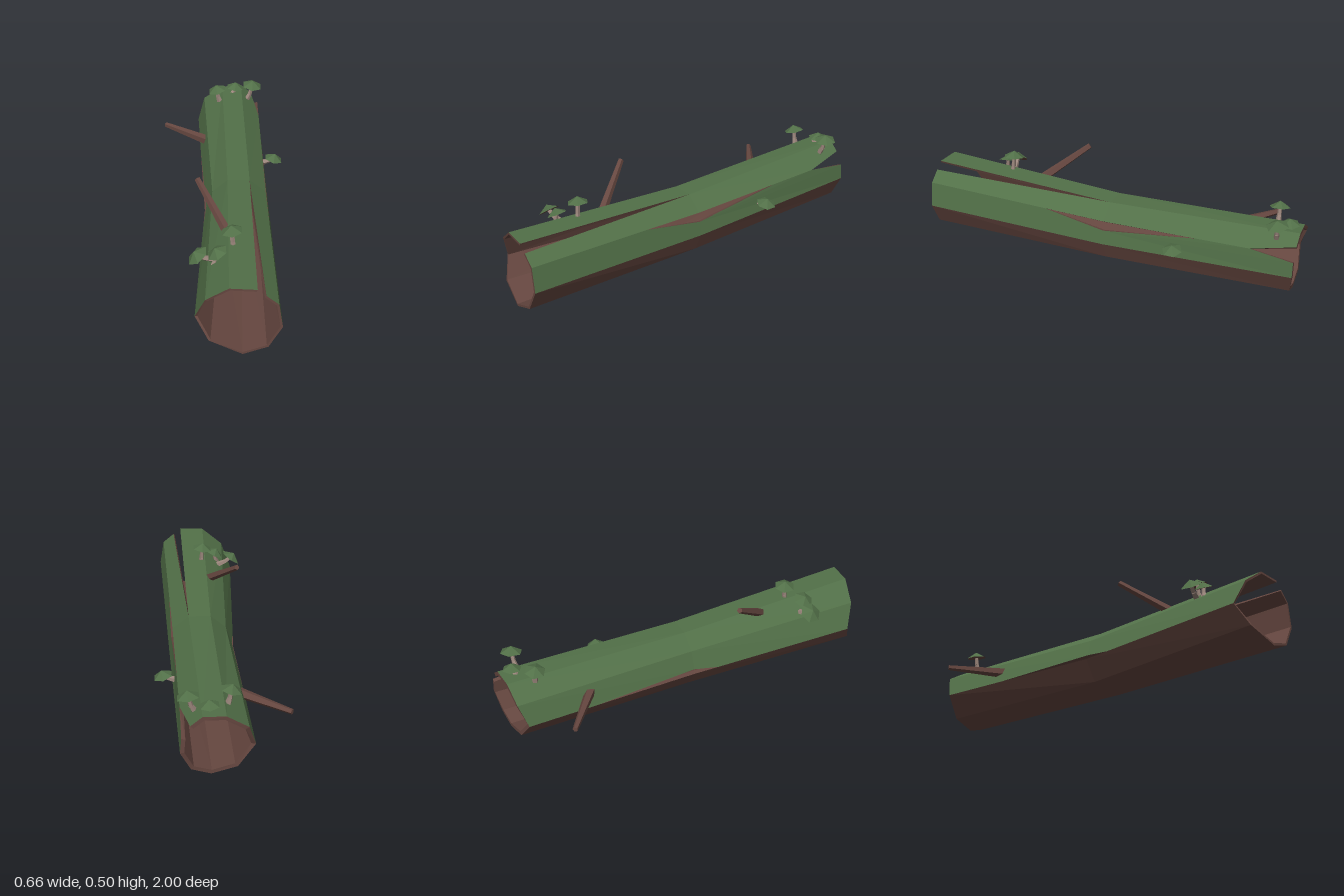
import * as THREE from 'three';

const mat = (name, color) => {
  const m = new THREE.MeshStandardMaterial({ color });
  m.name = name;
  return m;
};

// Nine-sided cross-sections [x, y], counter-clockwise from the bottom
const FRONT = [[0.09, 0.003], [0.21, 0.047], [0.275, 0.165], [0.255, 0.295], [0.155, 0.38],
  [0.025, 0.38], [-0.085, 0.295], [-0.135, 0.165], [-0.07, 0.06]];
const MIDDLE = [[0.1, 0.001], [0.2, 0.045], [0.245, 0.142], [0.225, 0.265], [0.14, 0.335],
  [0.025, 0.335], [-0.055, 0.265], [-0.095, 0.145], [-0.025, 0.04]];
const BACK = [[0.07, 0.03], [0.165, 0.065], [0.215, 0.17], [0.205, 0.285], [0.11, 0.365],
  [0, 0.358], [-0.105, 0.29], [-0.14, 0.17], [-0.055, 0.06]];
// End depth at each corner
const FRONT_Z = [1, 1, 1, 1, 1, 0.99, 0.965, 0.92, 0.97];
const BACK_Z = [0.97, 0.98, 1, 1, 1, 0.99, 0.98, 0.94, 0.96];

const lerp = THREE.MathUtils.lerp;

function ringPoint(ring, u) {
  const i = Math.floor(u) % 9, t = u - Math.floor(u), a = ring[i], b = ring[(i + 1) % 9];
  return [lerp(a[0], b[0], t), lerp(a[1], b[1], t)];
}
function center(ring) {
  return [0, 1].map((k) => ring.reduce((s, p) => s + p[k], 0) / 9);
}

// Point on the log wall: u runs around the ring, v along it from back (-1) to front (1)
function wallPoint([u, v], inner) {
  const end = v > 0 ? FRONT : BACK, depth = v > 0 ? FRONT_Z : BACK_Z, w = Math.abs(v);
  const at = (ring, k) => {
    const p = ringPoint(ring, u), c = center(ring), s = inner ? k : 1;
    return [lerp(c[0], p[0], s), lerp(c[1], p[1], s)];
  };
  const m = at(MIDDLE, 0.86), e = at(end, v > 0 ? 0.94 : 0.88);
  const i = Math.floor(u) % 9;
  const z = v * lerp(depth[i], depth[(i + 1) % 9], u - Math.floor(u));
  return [lerp(m[0], e[0], w), lerp(m[1], e[1], w), z];
}

// Panels whose outline is cut away by a crack: [front half, back half]
const CUT = {
  2: [[[2, 1], [2, 0], [2.6, 0], [3, 0.33], [3, 1]],
    [[2, 0], [2, -1], [2.7, -1], [3, -0.78], [3, -0.5], [2.6, 0]]],
  3: [[[3, 1], [3, 0.33], [3, 0], [4, 0], [3.6, 1]],
    [[3, 0], [3, -0.5], [3, -0.78], [3.4, -1], [4, -1], [4, 0]]],
  6: [[[6, 1], [6, 0], [6.8, 0], [7, 0.15], [7, 1]],
    [[6, 0], [6, -1], [7, -1], [7, -0.6], [6.8, 0]]],
  7: [[[7, 1], [7, 0.15], [7, 0], [8, 0], [8, 1]],
    [[7, 0], [7, -0.6], [7, -1], [8, -1], [8, 0]]],
};

function flat(positions) {
  const g = new THREE.BufferGeometry();
  g.setAttribute('position', new THREE.Float32BufferAttribute(positions, 3));
  g.computeVertexNormals();
  return g;
}

function buildLog(moss, bark) {
  const out = { moss: [], bark: [], inside: [] }, edges = new Map();
  const key = (p) => `${p[0] % 9},${p[1]}`;
  for (let i = 0; i < 9; i++) {
    const panels = CUT[i] || [
      [[i, 1], [i, 0], [i + 1, 0], [i + 1, 1]],
      [[i, 0], [i, -1], [i + 1, -1], [i + 1, 0]],
    ];
    const outside = i >= 2 && i <= 6 ? out.moss : out.bark;
    for (const poly of panels) {
      // Fan from the last corner, which never lies on a straight run
      const n = poly.length, a = poly[n - 1];
      for (let k = 0; k < n - 2; k++) {
        const b = poly[k], c = poly[k + 1];
        outside.push(...wallPoint(a), ...wallPoint(b), ...wallPoint(c));
        out.inside.push(...wallPoint(a, true), ...wallPoint(c, true), ...wallPoint(b, true));
      }
      poly.forEach((p, k) => {
        const q = poly[(k + 1) % n];
        edges.set(`${key(p)}|${key(q)}`, [p, q]);
      });
    }
  }
  // Close the wall thickness along the rims and cracks
  for (const [p, q] of edges.values()) {
    if (edges.has(`${key(q)}|${key(p)}`)) continue;
    const a = wallPoint(p), b = wallPoint(q), c = wallPoint(q, true), d = wallPoint(p, true);
    out.inside.push(...b, ...a, ...d, ...b, ...d, ...c);
  }
  const group = new THREE.Group();
  group.name = 'hollowLog';
  const add = (name, pos, m) => {
    const mesh = new THREE.Mesh(flat(pos), m);
    mesh.name = name;
    group.add(mesh);
  };
  add('mossCover', out.moss, moss);
  add('outerBark', out.bark, bark);
  add('innerWall', out.inside, bark);
  return group;
}

// Flat-shaded tapered stick between two points
function stick(name, from, to, r0, r1, sides, material) {
  const a = new THREE.Vector3(...from), b = new THREE.Vector3(...to), d = b.clone().sub(a);
  const g = new THREE.CylinderGeometry(r1, r0, d.length(), sides).toNonIndexed();
  g.computeVertexNormals();
  const mesh = new THREE.Mesh(g, material);
  mesh.name = name;
  mesh.position.copy(a).add(b).multiplyScalar(0.5);
  mesh.quaternion.setFromUnitVectors(new THREE.Vector3(0, 1, 0), d.normalize());
  return mesh;
}

// Mushroom with a bent stem and a six-sided cap tilted along "up"
function mushroom(base, top, up, radius, moss, bark, stem) {
  const group = new THREE.Group();
  group.name = 'mushroom';
  const knee = base.map((v, k) => lerp(v, top[k], k === 1 ? 0.4 : 0.6));
  group.add(stick('lowerStem', base, knee, 0.016, 0.012, 5, stem));
  group.add(stick('upperStem', knee, top, 0.012, 0.01, 5, stem));
  const g = new THREE.ConeGeometry(radius, 0.032, 6).toNonIndexed();
  g.computeVertexNormals();
  const cap = new THREE.Mesh(g, [moss, bark, bark]);
  cap.name = 'cap';
  const dir = new THREE.Vector3(...up).normalize();
  cap.position.set(...top).addScaledVector(dir, 0.012);
  cap.quaternion.setFromUnitVectors(new THREE.Vector3(0, 1, 0), dir);
  group.add(cap);
  return group;
}

export function createModel() {
  const moss = mat('moss', 0x527048), bark = mat('bark', 0x664740), stem = mat('stem', 0x9a857b);
  const model = new THREE.Group();
  model.name = 'mossyLog';
  model.add(buildLog(moss, bark));

  // Broken branches
  model.add(stick('upperBranch', [0.015, 0.33, 0.45], [-0.128, 0.495, 0.24], 0.024, 0.015, 5, bark));
  model.add(stick('sideBranch', [-0.08, 0.23, -0.585], [-0.325, 0.228, -0.77], 0.028, 0.014, 5, bark));

  // Mushrooms: base, cap position, cap direction, cap radius
  const mushrooms = [
    [[0.05, 0.335, 0.62], [0.042, 0.438, 0.61], [-0.15, 1, 0], 0.055],
    [[-0.045, 0.305, 0.66], [-0.125, 0.343, 0.68], [-0.6, 0.8, 0.1], 0.058],
    [[-0.045, 0.3, 0.7], [-0.03, 0.367, 0.69], [-0.45, 0.9, 0.1], 0.054],
    [[-0.015, 0.34, -0.85], [-0.03, 0.415, -0.85], [-0.25, 1, 0.05], 0.054],
    [[0.06, 0.35, -0.92], [0.075, 0.388, -0.935], [0.1, 1, 0], 0.05],
    [[0.14, 0.325, -0.89], [0.173, 0.417, -0.9], [0.15, 1, 0.1], 0.058],
    [[0.225, 0.2, -0.4], [0.283, 0.225, -0.4], [0.28, 1, 0], 0.052],
  ];
  for (const [base, top, up, r] of mushrooms) model.add(mushroom(base, top, up, r, moss, bark, stem));
  return model;
}
